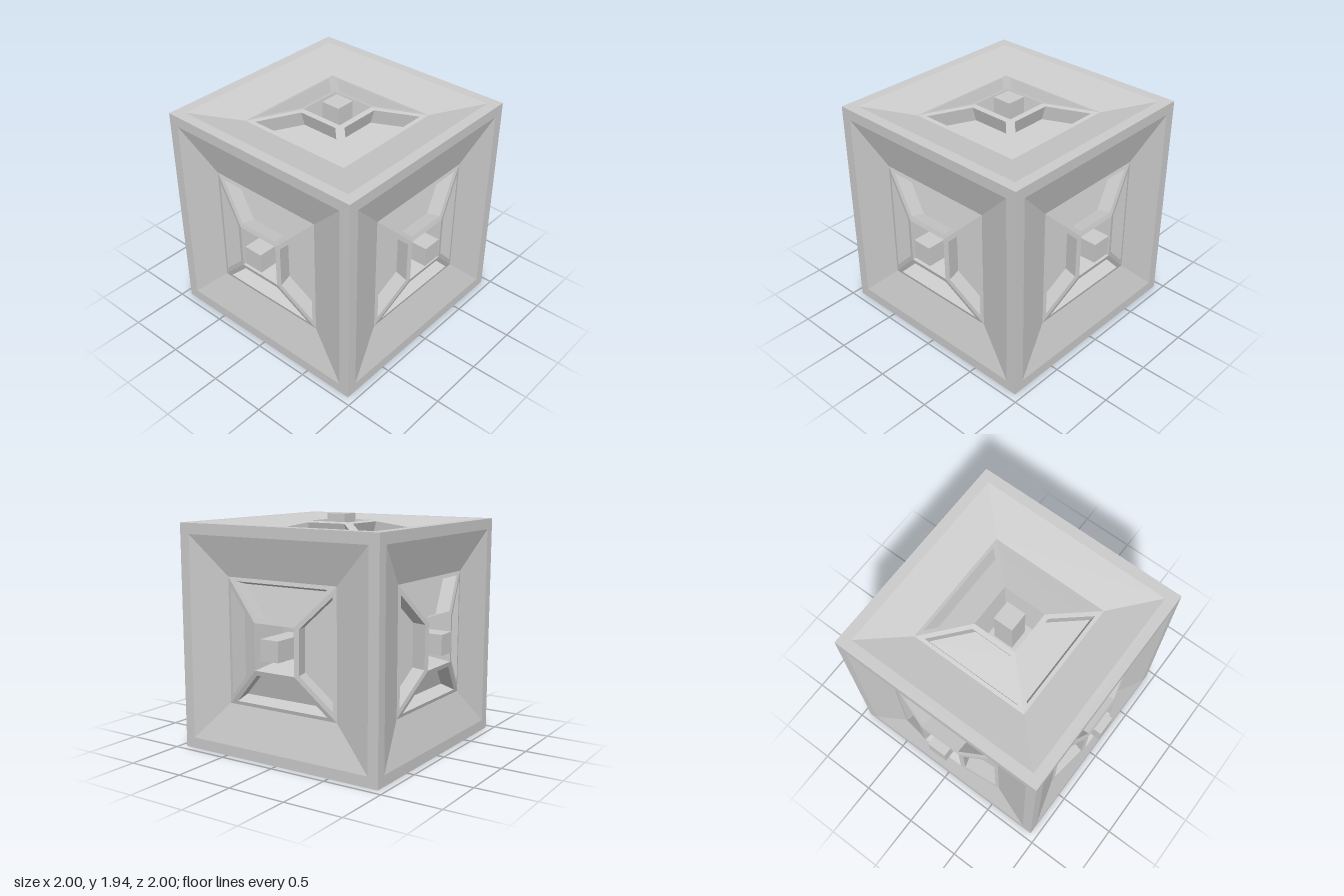
import * as THREE from 'three';

const HALF = 0.94;        // half size of the cube
const HOLE_DEPTH = 0.3;   // depth of the central socket
const material = new THREE.MeshStandardMaterial({ color: 0xcccccc, flatShading: true });

// Joins successive four-point loops (counter-clockwise, outer to inner); optionally caps the last one.
function loft(loops, cap) {
  const pos = [];
  const quad = (a, b, c, d) => [a, b, c, a, c, d].forEach((p) => pos.push(...p));
  for (let k = 0; k < loops.length - 1; k++) {
    const a = loops[k], b = loops[k + 1];
    for (let i = 0; i < 4; i++) {
      const j = (i + 1) % 4;
      quad(a[i], a[j], b[j], b[i]);
    }
  }
  if (cap) quad(...loops[loops.length - 1]);
  const geometry = new THREE.BufferGeometry();
  geometry.setAttribute('position', new THREE.Float32BufferAttribute(pos, 3));
  geometry.computeVertexNormals();
  return geometry;
}

const square = (h, z) => [[-h, -h, z], [h, -h, z], [h, h, z], [-h, h, z]];

// Raised pyramid: highest at the socket edge, lowest in the valley
const INNER = 0.19, VALLEY = 0.52, DROP = 0.09;
const slopeZ = (r) => HALF - DROP * (r - INNER) / (VALLEY - INNER);
const trapezoid = (xIn, yIn, xOut, yOut) => [
  [-xIn, yIn, slopeZ(yIn)], [xIn, yIn, slopeZ(yIn)],
  [xOut, yOut, slopeZ(yOut)], [-xOut, yOut, slopeZ(yOut)],
];

// Trapezoid pockets sink at right angles to the slope
const normal = new THREE.Vector3(0, DROP, VALLEY - INNER).normalize();
const sink = (loop, d) => loop.map(([x, y, z]) => [x, y - d * normal.y, z - d * normal.z]);

const panelEdge = trapezoid(INNER, INNER, VALLEY, VALLEY);
const pocketEdge = trapezoid(0.18, 0.23, 0.44, 0.49);
const pocketPanel = loft([panelEdge, pocketEdge, sink(pocketEdge, 0.13)], true);
const plainPanel = loft([panelEdge], true);

const frameGeometry = loft([
  square(HALF, HALF), square(0.85, HALF), square(VALLEY, HALF - DROP),
], false);
const socketGeometry = loft([square(INNER, HALF), square(0.135, HALF - HOLE_DEPTH)], true);
const pegLength = 1 - HALF + HOLE_DEPTH;
const pegGeometry = new THREE.BoxGeometry(0.17, 0.17, pegLength);

function add(parent, geometry, name) {
  const mesh = new THREE.Mesh(geometry, material);
  mesh.name = name;
  parent.add(mesh);
  return mesh;
}

// One cube face, looking along +z
function createFace(name, plain) {
  const face = new THREE.Group();
  face.name = name;
  add(face, frameGeometry, 'frame');
  add(face, socketGeometry, 'socket');
  for (let i = 0; i < 4; i++) {
    add(face, plain ? plainPanel : pocketPanel, 'slopedPanel').rotation.z = i * Math.PI / 2;
  }
  if (!plain) add(face, pegGeometry, 'peg').position.z = 1 - pegLength / 2;
  return face;
}

export function createModel() {
  const model = new THREE.Group();
  model.name = 'panelledCube';
  const cube = new THREE.Group();
  cube.name = 'cube';
  cube.position.y = HALF;
  model.add(cube);

  ['frontFace', 'leftFace', 'backFace', 'rightFace'].forEach((name, i) => {
    const face = createFace(name, false);
    face.rotation.y = i * Math.PI / 2;
    cube.add(face);
  });

  const top = createFace('topFace', false);
  top.rotation.x = -Math.PI / 2;
  cube.add(top);

  // The underside has no pockets and no peg
  const bottom = createFace('bottomFace', true);
  bottom.rotation.x = Math.PI / 2;
  cube.add(bottom);
  return model;
}
